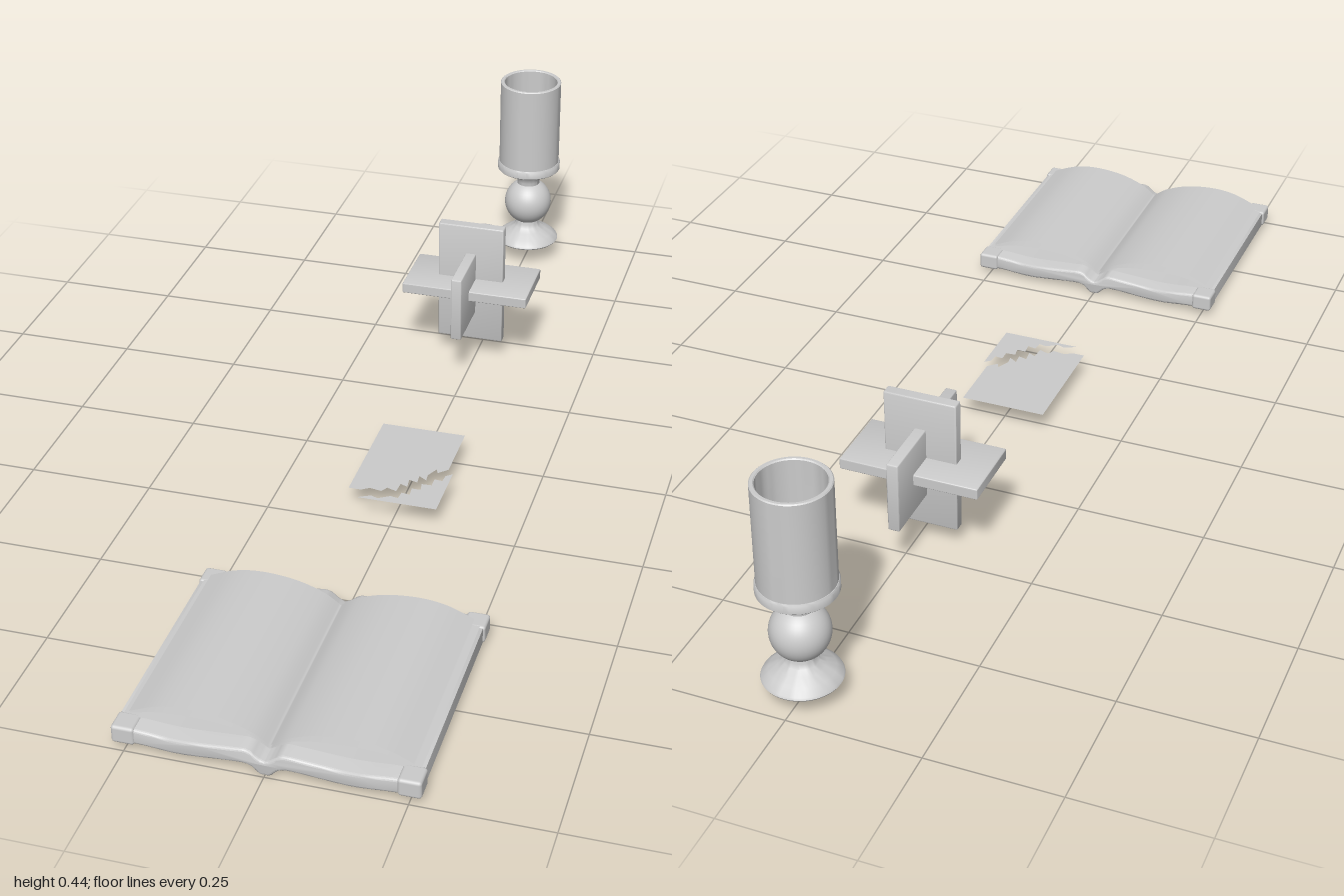
import * as THREE from 'three';
import { toCreasedNormals } from 'three/addons/utils/BufferGeometryUtils.js';
import { RoundedBoxGeometry } from 'three/addons/geometries/RoundedBoxGeometry.js';

const solid = new THREE.MeshStandardMaterial({ color: 0xcccccc });
const thin = new THREE.MeshStandardMaterial({ color: 0xcccccc, side: THREE.DoubleSide });
const v2 = (p) => new THREE.Vector2(p[0], p[1]);

function add(parent, name, geometry, x = 0, y = 0, z = 0, material = solid) {
  const mesh = new THREE.Mesh(geometry, material);
  mesh.name = name;
  mesh.position.set(x, y, z);
  parent.add(mesh);
  return mesh;
}

// Smooth half profile from the spine outwards, mirrored to the full width
function spread(half, steps = 20) {
  const right = new THREE.SplineCurve(half.map(v2)).getPoints(steps);
  const left = right.slice(1).reverse().map((p) => new THREE.Vector2(-p.x, p.y));
  return [...left, ...right];
}

// Open ribbon following a profile in x and y, running from z0 to z1
function sheet(points, z0, z1) {
  const n = points.length - 1;
  const geometry = new THREE.PlaneGeometry(1, 1, n, 1);
  const pos = geometry.attributes.position;
  for (let i = 0; i < pos.count; i++) {
    const p = points[i % (n + 1)];
    pos.setXYZ(i, p.x, p.y, i <= n ? z0 : z1);
  }
  geometry.computeVertexNormals();
  return geometry;
}

function openBook() {
  const book = new THREE.Group();
  book.name = 'openBook';

  // Padded cover with a V-shaped spine
  const top = spread([[0, 0.03], [0.012, 0.036], [0.03, 0.049], [0.06, 0.048], [0.15, 0.041], [0.22, 0.047], [0.268, 0.048]]);
  const bottom = spread([[0, 0.002], [0.01, 0.003], [0.028, 0.018], [0.06, 0.019], [0.15, 0.012], [0.22, 0.017], [0.268, 0.017]]);
  const bevel = 0.005;
  const cover = new THREE.ExtrudeGeometry(new THREE.Shape([...bottom, ...top.reverse()]), {
    depth: 0.462 - 2 * bevel, bevelEnabled: true, bevelSize: bevel,
    bevelOffset: -bevel, bevelThickness: bevel, bevelSegments: 3,
  });
  add(book, 'cover', toCreasedNormals(cover, 0.6), 0, 0, 0.535 + bevel);

  // Corner guards
  for (const x of [-0.251, 0.251])
    for (const z of [0.552, 0.978])
      add(book, 'cornerGuard', new RoundedBoxGeometry(0.042, 0.035, 0.044, 3, 0.006), x, 0.033, z);

  // Loose leaves arching over the cover
  const leaves = {
    upperPages: [[0, 0.041], [0.032, 0.063], [0.085, 0.081], [0.148, 0.087], [0.2, 0.08], [0.25, 0.06]],
    lowerPages: [[0, 0.036], [0.032, 0.056], [0.085, 0.068], [0.148, 0.071], [0.2, 0.068], [0.25, 0.056]],
    endPaper: [[0, 0.034], [0.03, 0.051], [0.06, 0.051], [0.15, 0.046], [0.22, 0.05], [0.262, 0.05]],
  };
  for (const [name, half] of Object.entries(leaves))
    add(book, name, sheet(spread(half, 28), 0.565, 0.965), 0, 0, 0, thin);
  return book;
}

function tornPaper() {
  const paper = new THREE.Group();
  paper.name = 'tornPaper';
  // Outlines in x and z; the zigzag is the tear
  const pieces = {
    largePiece: [[-0.095, -0.035], [0.078, -0.035], [0.078, 0.095], [0.06, 0.112], [0.055, 0.1], [0.043, 0.125],
      [0.045, 0.143], [0.028, 0.132], [0.03, 0.155], [0.012, 0.15], [0.015, 0.175], [0, 0.168], [-0.002, 0.195],
      [-0.022, 0.188], [-0.03, 0.202], [-0.055, 0.198], [-0.07, 0.208], [-0.095, 0.208]],
    smallPiece: [[0.09, 0.235], [-0.07, 0.235], [-0.045, 0.222], [-0.03, 0.228], [-0.008, 0.214], [0.008, 0.217],
      [0.01, 0.197], [0.027, 0.2], [0.025, 0.178], [0.043, 0.178], [0.04, 0.158], [0.06, 0.157], [0.06, 0.135],
      [0.076, 0.137], [0.078, 0.118], [0.09, 0.108]],
  };
  for (const [name, outline] of Object.entries(pieces)) {
    const shape = new THREE.Shape(outline.map(([x, z]) => new THREE.Vector2(x, -z)));
    add(paper, name, new THREE.ShapeGeometry(shape).rotateX(-Math.PI / 2), 0, 0.048, 0, thin);
  }
  return paper;
}

// Three interlocking plates at right angles
function platePuzzle() {
  const puzzle = new THREE.Group();
  puzzle.name = 'platePuzzle';
  puzzle.position.set(-0.013, 0.18, -0.441);
  const [l, w, t] = [0.273, 0.143, 0.023];
  const plates = { uprightPlate: [w, l, t], levelPlate: [l, t, w], sidePlate: [t, w, l] };
  for (const [name, size] of Object.entries(plates))
    add(puzzle, name, toCreasedNormals(new RoundedBoxGeometry(...size, 2, 0.003), 0.6));
  return puzzle;
}

function goblet() {
  const group = new THREE.Group();
  group.name = 'goblet';
  group.position.z = -0.928;
  const turned = (points) => toCreasedNormals(new THREE.LatheGeometry(points.map(v2), 48), 0.6);

  // Domed foot and short lower neck
  add(group, 'foot', turned([[0, 0.045], [0.07, 0.045], [0.072, 0.048], [0.07, 0.052], [0.058, 0.062],
    [0.042, 0.072], [0.031, 0.08], [0.027, 0.088], [0.026, 0.1], [0, 0.1]]));
  add(group, 'stemBall', new THREE.SphereGeometry(0.054, 40, 24), 0, 0.142, 0);
  // Neck flaring into the collar
  add(group, 'collar', turned([[0, 0.18], [0.026, 0.18], [0.026, 0.196], [0.029, 0.206], [0.037, 0.216], [0.05, 0.223],
    [0.07, 0.228], [0.072, 0.23], [0.072, 0.245], [0.07, 0.248], [0, 0.248]]));
  // Hollow cup
  add(group, 'cup', turned([[0.069, 0.246], [0.069, 0.443], [0.067, 0.445], [0.062, 0.445], [0.06, 0.443],
    [0.06, 0.256], [0.056, 0.252], [0, 0.252]]));
  return group;
}

export function createModel() {
  const model = new THREE.Group();
  model.name = 'tableObjects';
  model.add(openBook(), tornPaper(), platePuzzle(), goblet());
  return model;
}
